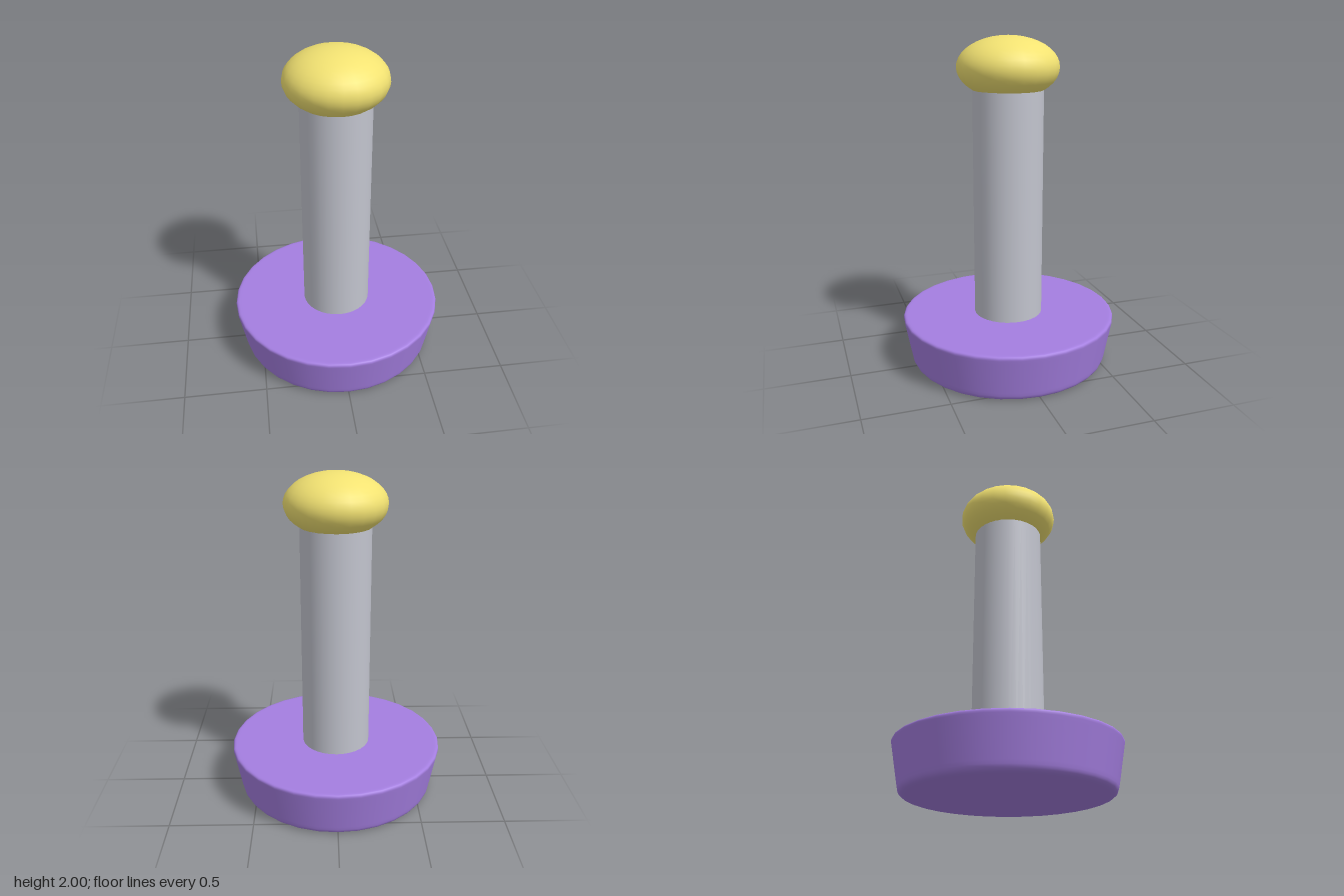
import * as THREE from 'three';

function part(name, geometry, color) {
  const mesh = new THREE.Mesh(geometry, new THREE.MeshStandardMaterial({ color }));
  mesh.name = name;
  return mesh;
}

// Corner rounded with a quadratic curve from a to b, pulled toward the corner c
function roundedCorner(a, c, b) {
  const v = (p) => new THREE.Vector2(...p);
  return new THREE.QuadraticBezierCurve(v(a), v(c), v(b)).getPoints(5);
}

export function createModel() {
  const model = new THREE.Group();
  model.name = 'pegStand';

  // Tapered disc base with softened rims; extra rings keep the faces flat
  const profile = [
    new THREE.Vector2(0, 0.005),
    new THREE.Vector2(0.55, 0.005),
    ...roundedCorner([0.565, 0.005], [0.602, 0.005], [0.61, 0.04]),
    new THREE.Vector2(0.614, 0.06),
    new THREE.Vector2(0.652, 0.26),
    ...roundedCorner([0.656, 0.28], [0.662, 0.305], [0.635, 0.305]),
    new THREE.Vector2(0.62, 0.305),
    new THREE.Vector2(0, 0.305),
  ];
  model.add(part('base', new THREE.LatheGeometry(profile, 32), 0xa47ee0));

  // Straight round post, sunk into the base and the knob
  const post = part('post', new THREE.CylinderGeometry(0.21, 0.21, 1.69, 32), 0xc2c4ce);
  post.position.y = 0.855;
  model.add(post);

  // Flattened ball on top
  const knob = part('knob', new THREE.SphereGeometry(0.302, 24, 20), 0xf2e272);
  knob.scale.y = 0.6;
  knob.position.y = 1.819;
  model.add(knob);

  return model;
}
